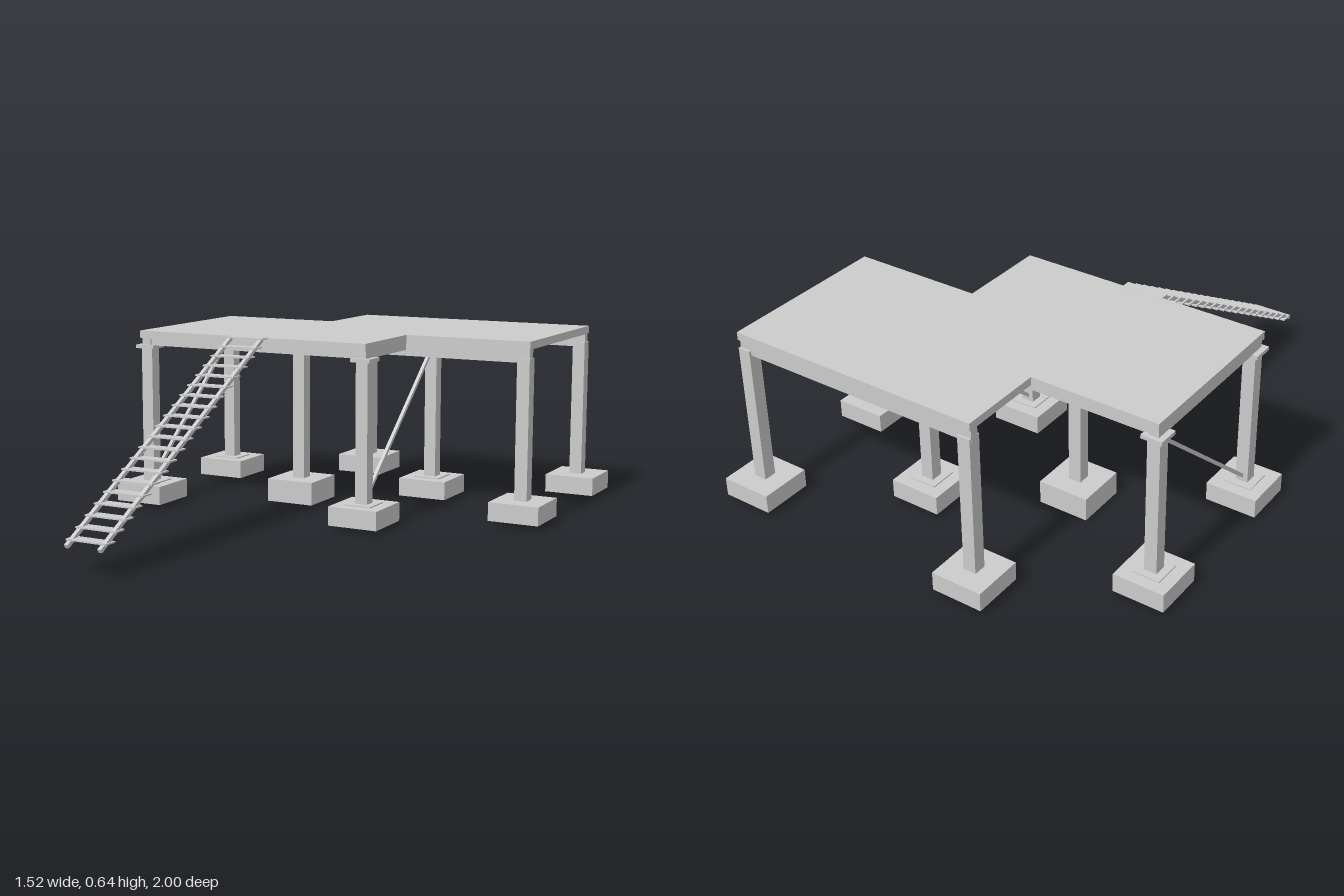
import * as THREE from 'three';

const material = new THREE.MeshStandardMaterial({ color: 0xcccccc, flatShading: true });

export function createModel() {
  const model = new THREE.Group();

  function box(name, w, h, d, x, y, z) {
    const mesh = new THREE.Mesh(new THREE.BoxGeometry(w, h, d), material);
    mesh.name = name;
    mesh.position.set(x, y, z);
    model.add(mesh);
    return mesh;
  }

  // Box standing between two heights
  const block = (name, w, d, x, z, y0, y1) => box(name, w, y1 - y0, d, x, (y0 + y1) / 2, z);

  // Sloping bar in the y-z plane, from point a to point b, each [y, z]
  function bar(name, x, a, b, w, h) {
    const dy = b[0] - a[0], dz = b[1] - a[1];
    const mesh = box(name, w, h, Math.hypot(dy, dz), x, (a[0] + b[0]) / 2, (a[1] + b[1]) / 2);
    mesh.rotation.x = -Math.atan2(dy, dz);
  }

  // Deck: two overlapping rectangles as one slab
  const outline = [[-0.69, 0.01], [0.225, 0.01], [0.225, -0.315], [0.69, -0.315],
    [0.69, -0.93], [-0.235, -0.93], [-0.235, -0.625], [-0.69, -0.625]];
  const shape = new THREE.Shape(outline.map(([x, z]) => new THREE.Vector2(x, -z)));
  const slab = new THREE.ExtrudeGeometry(shape, { depth: 0.028, bevelEnabled: false });
  slab.rotateX(-Math.PI / 2);
  const deck = new THREE.Mesh(slab, material);
  deck.name = 'deck';
  deck.position.y = 0.612;
  model.add(deck);

  // Front platform: columns with base and cap plates
  const frontX = [-0.67, 0.205], frontZ = [-0.025, -0.597];
  for (const x of frontX) for (const z of frontZ) {
    block('footing', 0.184, 0.184, x, z, 0.013, 0.08);
    block('basePlate', 0.1, 0.1, x, z, 0.08, 0.084);
    block('column', 0.045, 0.045, x, z, 0.08, 0.577);
    block('capPlate', 0.075, 0.075, x, z, 0.575, 0.588);
  }

  // Front platform: beam frame
  for (const x of frontX) block('sideBeam', 0.035, 0.62, x, -0.311, 0.586, 0.612);
  for (const z of frontZ) block('crossBeam', 0.91, 0.035, -0.2325, z, 0.586, 0.612);

  // Rear platform: columns carrying two long beams
  for (const z of [-0.334, -0.907]) {
    for (const x of [-0.21, 0.668]) {
      const bottom = x < 0 && z > -0.5 ? 0 : 0.018;
      block('footing', 0.184, 0.184, x, z, bottom, 0.084);
      block('column', 0.046, 0.046, x, z, 0.084, 0.582);
    }
    block('longBeam', 0.922, 0.03, 0.2275, z, 0.565, 0.612);
  }

  // Diagonal braces on both sides of the front platform
  for (const x of frontX) bar('brace', x, [0.1, -0.04], [0.572, -0.59], 0.012, 0.012);

  // Stairs
  for (const x of [-0.296, -0.172]) bar('stringer', x, [0.09, 0.995], [0.635, 0.025], 0.014, 0.013);
  for (let i = 0; i < 20; i++) {
    box('tread', 0.152, 0.005, 0.047, -0.234, 0.108 + 0.0279 * i, 0.957 - 0.0495 * i);
  }

  return model;
}
